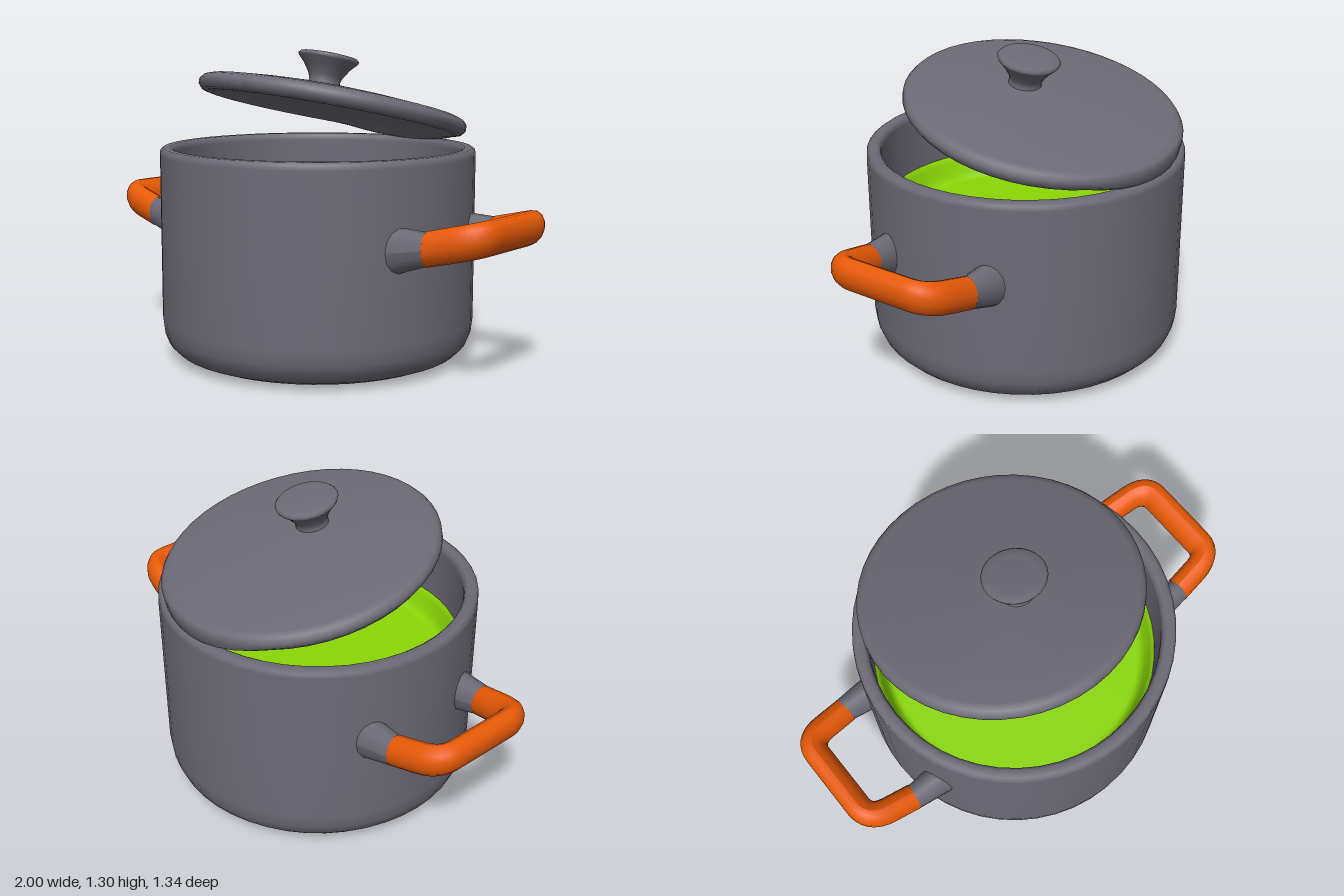
import * as THREE from 'three';

const mat = (name, color) => {
  const m = new THREE.MeshStandardMaterial({ color });
  m.name = name;
  return m;
};

const lathe = (pts, segments = 48) =>
  new THREE.LatheGeometry(pts.map(([r, y]) => new THREE.Vector2(r, y)), segments);

// Moves every vertex of a geometry by a rule
function warp(geo, rule) {
  const p = geo.attributes.position;
  const v = new THREE.Vector3();
  for (let i = 0; i < p.count; i++) {
    rule(v.fromBufferAttribute(p, i));
    p.setXYZ(i, v.x, v.y, v.z);
  }
  geo.computeVertexNormals();
  return geo;
}

export function createModel() {
  const model = new THREE.Group();
  model.name = 'cookingPot';
  const grey = mat('enamel grey', 0x6c6a76);
  const orange = mat('grip orange', 0xe85a06);
  const green = mat('soup green', 0x8ad806);

  const add = (parent, name, geo, material) => {
    const mesh = new THREE.Mesh(geo, material);
    mesh.name = name;
    parent.add(mesh);
    return mesh;
  };

  // Hollow pot with a rounded base and lip
  add(model, 'potBody', lathe([
    [0, 0], [0.48, 0], [0.56, 0.01], [0.61, 0.03], [0.645, 0.065], [0.663, 0.11],
    [0.67, 0.17], [0.67, 0.5], [0.67, 0.865], [0.668, 0.885], [0.655, 0.895],
    [0.625, 0.895], [0.612, 0.885], [0.608, 0.865], [0.605, 0.4], [0.6, 0.12], [0.56, 0.08], [0, 0.08],
  ]), grey);

  // Solid body of soup, its edge clinging to the wall
  add(model, 'soup', lathe([
    [0, 0.07], [0.55, 0.07], [0.6, 0.1], [0.618, 0.16], [0.618, 0.6], [0.612, 0.628],
    [0.6, 0.63], [0.59, 0.6], [0.575, 0.55], [0.56, 0.525], [0.545, 0.52], [0.53, 0.52], [0, 0.52],
  ]), green);

  // Tilted handles: an orange grip on two flared grey sockets
  const gripRule = (v) => { v.y = v.y * 1.27 + 0.618 - (0.945 - v.x) * 0.25; };
  const socketRule = (v) => {
    const t = (0.735 - v.x) / 0.16;
    v.y = v.y * (1.27 + 0.15 * t) + 0.565 - 0.025 * t;
  };
  const P = (x, z) => new THREE.Vector3(x, 0, z);
  const path = new THREE.CurvePath();
  path.add(new THREE.LineCurve3(P(0.735, 0.243), P(0.85, 0.229)));
  path.add(new THREE.QuadraticBezierCurve3(P(0.85, 0.229), P(0.945, 0.218), P(0.945, 0.14)));
  path.add(new THREE.LineCurve3(P(0.945, 0.14), P(0.945, -0.14)));
  path.add(new THREE.QuadraticBezierCurve3(P(0.945, -0.14), P(0.945, -0.218), P(0.85, -0.229)));
  path.add(new THREE.LineCurve3(P(0.85, -0.229), P(0.735, -0.243)));

  for (const side of [1, -1]) {
    const handle = new THREE.Group();
    handle.name = side > 0 ? 'leftHandle' : 'rightHandle';
    if (side < 0) handle.rotation.y = Math.PI;
    add(handle, 'grip', warp(new THREE.TubeGeometry(path, 56, 0.055, 14), gripRule), orange);
    for (const end of [1, -1]) {
      const socket = new THREE.CylinderGeometry(0.052, 0.07, 0.17, 14, 4);
      socket.rotateZ(-Math.PI / 2).translate(0.66, 0, end * 0.245);
      add(handle, 'socket', warp(socket, socketRule), grey);
    }
    model.add(handle);
  }

  // Lid leaning on the back of the rim, with its peak off centre and a lip at the back
  const lid = new THREE.Group();
  lid.name = 'lid';
  lid.position.set(0.005, 1.06, -0.093);
  lid.rotation.set(-0.216, 0, -0.055);
  const shell = lathe([
    [0, 0.035], [0.3, 0.02], [0.48, 0], [0.515, -0.025], [0.54, -0.035], [0.565, -0.03],
    [0.582, -0.01], [0.582, 0.012], [0.568, 0.03], [0.54, 0.04], [0.4, 0.055], [0.2, 0.072], [0, 0.085],
  ]);
  add(lid, 'lidShell', warp(shell, (v) => {
    if (v.y < -0.005) v.y -= 0.25 * Math.max(0, -v.z - 0.46);
    v.z += 0.09 * Math.max(0, 1 - Math.hypot(v.x, v.z) / 0.54);
  }), grey);

  // Flared knob
  const knob = add(lid, 'lidKnob', lathe([
    [0.075, 0.06], [0.066, 0.09], [0.073, 0.115], [0.1, 0.155], [0.126, 0.182],
    [0.131, 0.193], [0.122, 0.202], [0.09, 0.206], [0, 0.208],
  ], 28), grey);
  knob.position.set(0.015, 0, 0.1);
  model.add(lid);

  return model;
}
